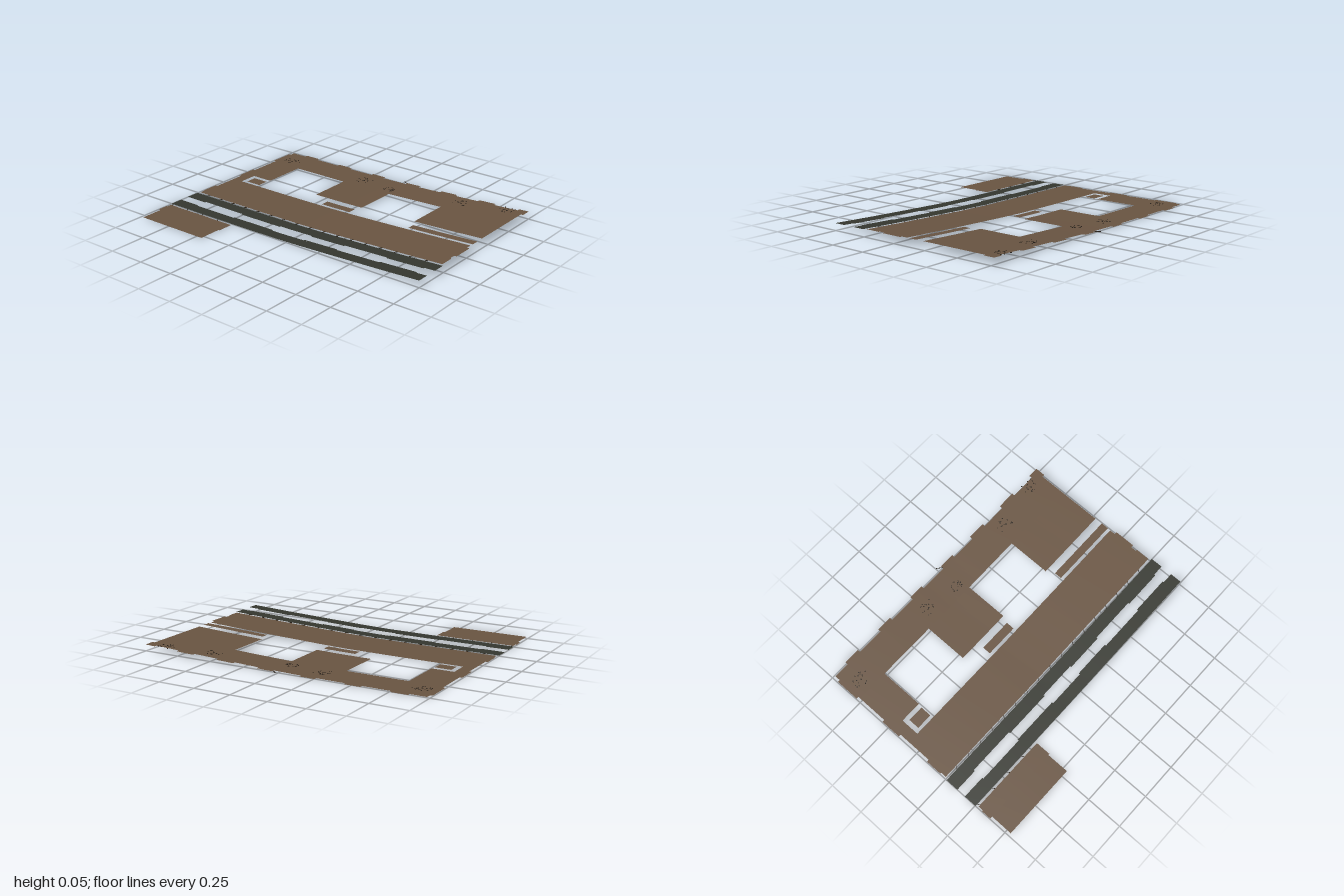
import * as THREE from 'three';
import { mergeGeometries } from 'three/addons/utils/BufferGeometryUtils.js';

// Ground height along z: nearly flat at the back, rising to the front
const PROFILE = [[-1, 0.008], [-0.4, 0.009], [-0.1, 0.011], [0.1, 0.016], [0.4, 0.027], [0.7, 0.039], [1, 0.053]];
function heightAt(z) {
  let i = 1;
  while (i < PROFILE.length - 1 && z > PROFILE[i][0]) i++;
  const [z0, y0] = PROFILE[i - 1], [z1, y1] = PROFILE[i];
  return y0 + (y1 - y0) * (z - z0) / (z1 - z0);
}

// Move a geometry lying on y = 0 onto the slope
function drape(geo) {
  const p = geo.attributes.position;
  for (let i = 0; i < p.count; i++) p.setY(i, p.getY(i) + heightAt(p.getZ(i)));
  geo.computeVertexNormals();
  return geo;
}

// Thin sheet covering a rectangle of ground
function sheet([x0, x1, z0, z1]) {
  const geo = new THREE.PlaneGeometry(x1 - x0, z1 - z0, 1, Math.max(1, Math.ceil((z1 - z0) / 0.05)));
  geo.rotateX(-Math.PI / 2);
  geo.translate((x0 + x1) / 2, 0, (z0 + z1) / 2);
  return drape(geo);
}

// Small flat chip lying in the surface, visible from both sides
function chip(x, z, length, width, angle) {
  const geo = new THREE.BoxGeometry(length, 0.004, width);
  geo.rotateY(angle);
  geo.translate(x, 0, z);
  return drape(geo);
}

function seeded(seed) {
  return () => (seed = (seed * 16807) % 2147483647) / 2147483647;
}

export function createModel() {
  const group = new THREE.Group();
  const material = (name, color) => {
    const m = new THREE.MeshStandardMaterial({ color, side: THREE.DoubleSide });
    m.name = name;
    return m;
  };
  const earth = material('earth brown', 0x6a5542);
  const strip = material('dark grey green', 0x35372f);
  const dark = material('dark chips', 0x2b241c);
  const add = (name, geos, mat) => {
    const mesh = new THREE.Mesh(mergeGeometries(geos), mat);
    mesh.name = name;
    group.add(mesh);
  };

  // Main ground with its two open bays
  add('mainGround', [
    [-0.24, 0.085, -0.98, 0.975],
    [0.085, 0.215, -0.98, -0.905],
    [0.215, 0.52, -0.98, -0.755],
    [0.215, 0.52, -0.34, 0.05],
    [0.215, 0.52, 0.47, 0.975],
    [0.52, 0.742, -0.98, 0.975],
  ].map(sheet), earth);

  // Ragged tabs around the outer edge
  const backTabs = [[-0.2, -0.085], [0.16, 0.305], [0.535, 0.705]].map(([a, b]) => [a, b, -0.996, -0.98]);
  const sideTabs = [[-0.87, -0.755], [-0.565, -0.455], [-0.26, -0.155], [0.035, 0.145],
    [0.32, 0.445], [0.62, 0.745], [0.92, 0.975]].map(([a, b]) => [0.742, 0.763, a, b]);
  const frontTabs = [[-0.24, -0.14, 0.975, 0.985], [-0.1, 0.045, 0.975, 0.993], [0.69, 0.763, 0.975, 0.992]];
  add('groundEdgeTabs', [...backTabs, ...sideTabs, ...frontTabs, [-0.24, -0.2, -0.988, -0.98]].map(sheet), earth);

  // Separate islands in the gap
  add('groundIslands', [
    [0.107, 0.185, -0.873, -0.762],
    [0.107, 0.165, -0.2, 0.03],
    [0.107, 0.16, 0.5, 0.977],
  ].map(sheet), earth);

  // Outlying plot
  add('sidePlot', [
    [-0.78, -0.625, -0.98, -0.455],
    [-0.625, -0.52, -0.99, -0.445],
    [-0.625, -0.555, -0.997, -0.99],
  ].map(sheet), earth);

  // Two long dark strips with stepped inner edges
  const steps = [[-1, -0.84], [-0.51, -0.18], [0.08, 0.34], [0.66, 0.925]];
  add('leftStrip', [[-0.503, -0.423, -1, 1], ...steps.map(([a, b]) => [-0.423, -0.414, a, b])].map(sheet), strip);
  add('rightStrip', [[-0.341, -0.258, -1, 1], ...steps.map(([a, b]) => [-0.35, -0.341, a, b])].map(sheet), strip);

  // Scattered chips
  const rand = seeded(41);
  const chips = [];
  for (const [cx, cz, r] of [[0.6, -0.88, 0.06], [0.63, -0.24, 0.06], [0.585, 0, 0.04], [0.64, 0.54, 0.055], [0.72, 0.86, 0.055]]) {
    for (let i = 0; i < 18; i++) {
      const a = rand() * Math.PI * 2, d = r * Math.sqrt(rand());
      chips.push(chip(cx + d * Math.cos(a), cz + d * Math.sin(a), 0.005 + rand() * 0.006, 0.005, rand() * 3));
    }
  }
  add('scatteredChips', chips, dark);

  // Short slanted ticks along the strip edges
  const ticks = [chip(0.763, 0.02, 0.045, 0.003, 0.9)];
  for (let i = 0; i < 17; i++) ticks.push(chip(-0.249, -0.9 + i * 0.111, 0.022, 0.003, -0.6));
  for (let i = 0; i < 4; i++) ticks.push(chip(-0.512, -0.98 + i * 0.137, 0.022, 0.003, 0.6));
  add('edgeTicks', ticks, dark);

  return group;
}
